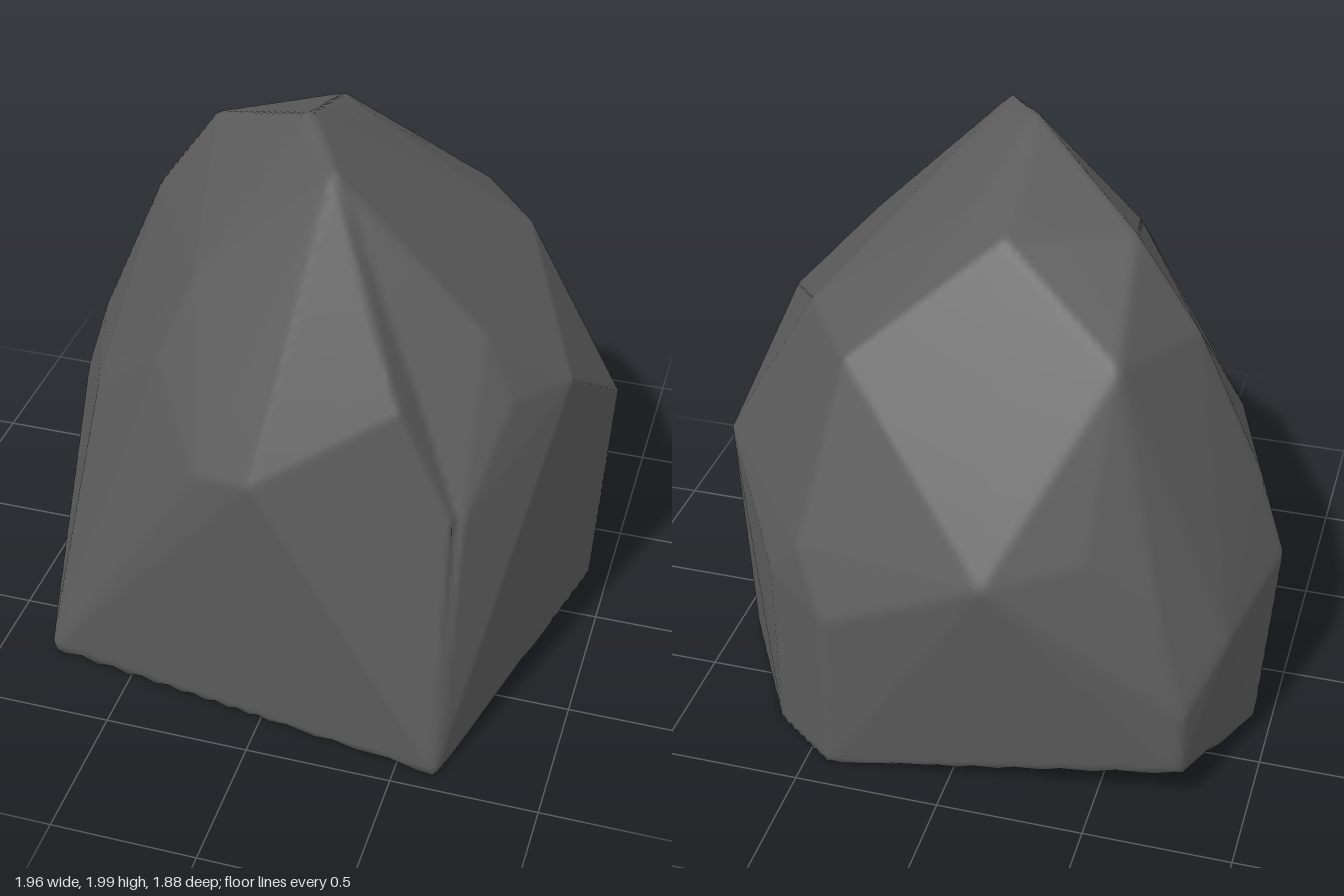
import * as THREE from 'three';
import { ConvexGeometry } from 'three/addons/geometries/ConvexGeometry.js';
import { mergeVertices } from 'three/addons/utils/BufferGeometryUtils.js';

const CORE = new THREE.Vector3(0.2, 0.8, 0);

// The face planes of the hull around some corner points, seen from the core
function facetPlanes(corners) {
  const hull = new ConvexGeometry(corners.map((c) => new THREE.Vector3(...c).sub(CORE)));
  const pos = hull.attributes.position;
  const planes = [];
  for (let i = 0; i < pos.count; i += 3) {
    const [a, b, c] = [0, 1, 2].map((k) => new THREE.Vector3().fromBufferAttribute(pos, i + k));
    planes.push(new THREE.Plane().setFromCoplanarPoints(a, b, c));
  }
  return planes;
}

// Distance from the core to the hull surface along a direction
function reach(planes, dir) {
  let inverse = 0;
  for (const { normal, constant } of planes) {
    inverse = Math.max(inverse, normal.dot(dir) / -constant);
  }
  return 1 / inverse;
}

// A fine sphere pushed out to the farthest chunk, giving one skin with soft edges
function carve(chunks) {
  const sphere = new THREE.IcosahedronGeometry(1, 60);
  sphere.deleteAttribute('normal');
  sphere.deleteAttribute('uv');
  const skin = mergeVertices(sphere, 1e-5);
  const pos = skin.attributes.position;
  const dir = new THREE.Vector3();
  for (let i = 0; i < pos.count; i++) {
    dir.fromBufferAttribute(pos, i).normalize();
    const r = Math.max(...chunks.map((planes) => reach(planes, dir)));
    dir.multiplyScalar(r).add(CORE);
    pos.setXYZ(i, dir.x, dir.y, dir.z);
  }
  skin.computeVertexNormals();
  return skin;
}

export function createModel() {
  // Base outline, lifted at the back right corner
  const base = [
    [0.64, 0, 0.94], [-0.82, 0, 0.72], [-0.94, 0, -0.28],
    [-0.78, 0.15, -0.8], [0.42, 0, -0.9], [0.65, 0, -0.73],
  ];
  // Ridge climbing the right flank to the peak
  const ridge = [
    [-0.98, 0.63, -0.14], [-0.88, 0.93, -0.11], [-0.66, 1.46, -0.16],
    [-0.44, 1.77, -0.14], [-0.01, 2, 0.2], [0.14, 1.94, 0.44],
  ];
  // Prow and the facets of the front face
  const front = [
    [0.44, 1.29, 0.73], [0.62, 0.92, 0.75], [0, 1.04, 0.91], [-0.2, 1, 0.85],
    [-0.42, 1.22, 0.57], [-0.32, 1.5, 0.48], [-0.74, 0.9, 0.33],
  ];
  // Facets at the back of the right flank
  const back = [
    [-0.48, 1.5, -0.54], [-0.45, 0.93, -0.8], [-0.14, 0.87, -0.94], [0.12, 0.68, -0.91],
    [-0.68, 0.74, -0.74], [-0.78, 0.38, -0.8], [-0.88, 0.55, -0.57], [0.55, 1.45, -0.3],
  ];
  // Back facets that both chunks share
  const shared = [
    [-0.05, 1.8, -0.34], [0.09, 1.82, -0.18], [0.42, 1.42, -0.57],
    [0.53, 0.82, -0.8], [0.42, 0.6, -0.9], [0.65, 0.65, -0.73],
  ];
  // Left shoulder, leaving a notch between its knob and the prow
  const shoulder = [
    [-0.01, 2, 0.2], [0.14, 1.94, 0.44], [0.64, 1.44, 0.44], [0.63, 1.45, -0.27],
    [0.74, 1.22, 0.47], [0.89, 1.19, 0.25], [0.98, 0.85, -0.22], [0.65, 0.9, 0.72],
    [0.64, 0, 0.94], [0.93, 0, -0.24], [0.65, 0, -0.73], [0.42, 0, -0.9],
    [-0.2, 0, 0.3], [-0.2, 1, 0.2],
  ];

  const chunks = [[...base, ...ridge, ...front, ...back, ...shared], [...shoulder, ...shared]];
  const stone = new THREE.MeshStandardMaterial({ color: 0x5c5c5c });
  const boulder = new THREE.Mesh(carve(chunks.map(facetPlanes)), stone);
  boulder.name = 'boulder';
  const rock = new THREE.Group();
  rock.name = 'rock';
  rock.add(boulder);
  return rock;
}
